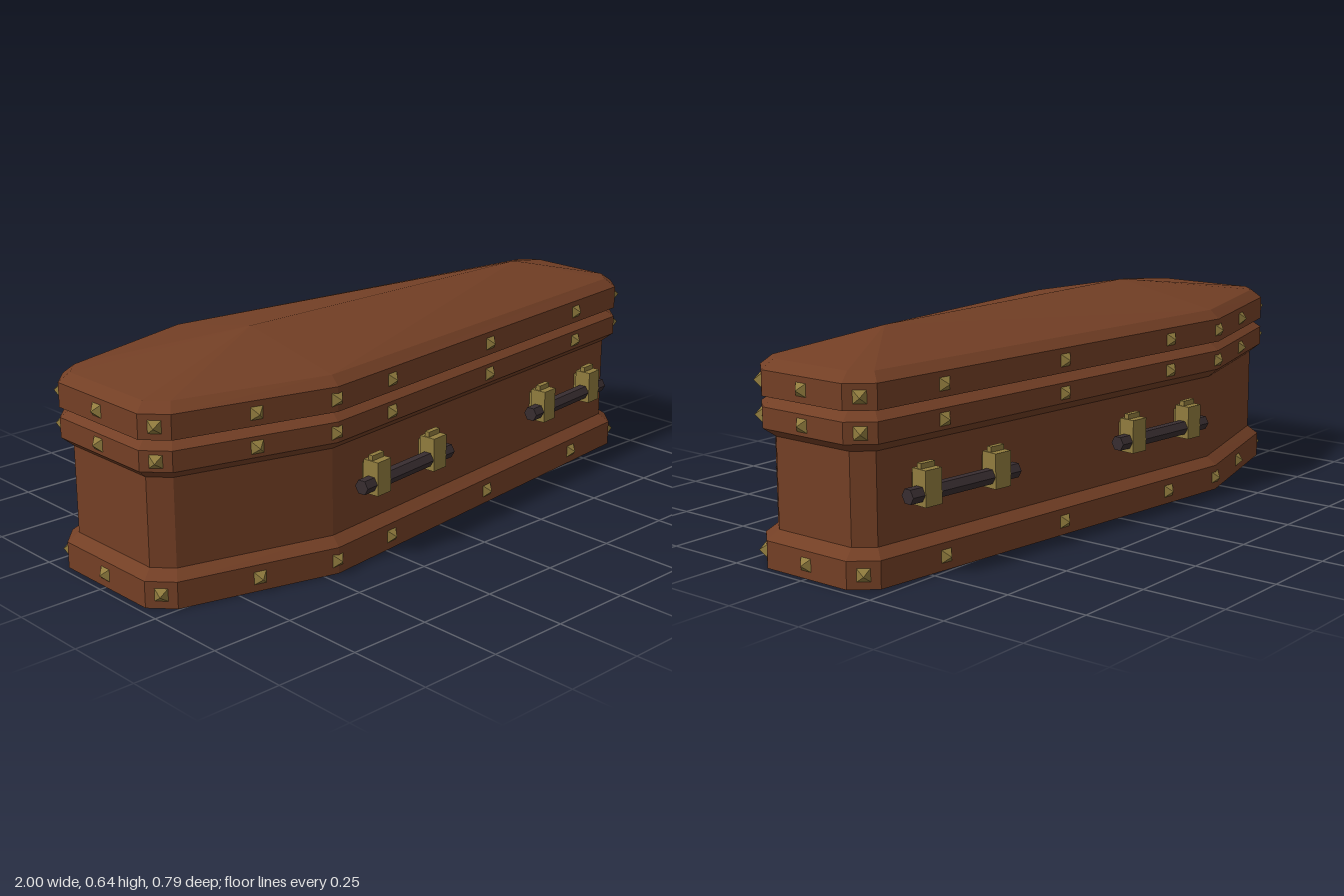
import * as THREE from 'three';

const wood = new THREE.MeshStandardMaterial({ color: 0x733f25, flatShading: true });
wood.name = 'brown wood';
const brass = new THREE.MeshStandardMaterial({ color: 0x917c3e, flatShading: true });
brass.name = 'aged brass';
const iron = new THREE.MeshStandardMaterial({ color: 0x382d30, flatShading: true });
iron.name = 'dark iron';

// Half outlines [x, z] from foot (+x) to head (-x), mirrored across z = 0
const mirrorOutline = half => [...half, ...half.slice().reverse().map(([x, z]) => [x, -z])];
const outerHalf = [[0.98, 0.148], [0.92, 0.215], [-0.455, 0.37], [-0.92, 0.245], [-0.98, 0.18]];
const innerHalf = [[0.945, 0.135], [0.9, 0.187], [-0.45, 0.34], [-0.9, 0.218], [-0.95, 0.165]];
const outer = mirrorOutline(outerHalf);
const inner = mirrorOutline(innerHalf);
const ridge = mirrorOutline([[0.66, 0], [0.66, 0], [-0.45, 0], [-0.45, 0], [-0.45, 0]]);

function mesh(name, geometry, material) {
  const m = new THREE.Mesh(geometry, material);
  m.name = name;
  return m;
}

// Skin a stack of [outline, y] sections and close both ends
function loft(sections) {
  const pos = [];
  const tri = (a, b, c) => {
    const n = new THREE.Vector3().crossVectors(b.clone().sub(a), c.clone().sub(a));
    if (n.length() > 1e-8) pos.push(...a.toArray(), ...b.toArray(), ...c.toArray());
  };
  const rings = sections.map(([pts, y]) => pts.map(([x, z]) => new THREE.Vector3(x, y, z)));
  const n = outer.length;
  const bottom = rings[0], top = rings[rings.length - 1];
  const c0 = new THREE.Vector3(0, sections[0][1], 0);
  const c1 = new THREE.Vector3(0, sections[sections.length - 1][1], 0);
  for (let i = 0; i < n; i++) {
    const j = (i + 1) % n;
    for (let k = 0; k + 1 < rings.length; k++) {
      const a = rings[k][i], b = rings[k][j], au = rings[k + 1][i], bu = rings[k + 1][j];
      if (i < n / 2) {
        tri(a, au, b);
        tri(b, au, bu);
      } else {
        tri(a, bu, b);
        tri(a, au, bu);
      }
    }
    tri(c0, bottom[i], bottom[j]);
    tri(c1, top[j], top[i]);
  }
  const g = new THREE.BufferGeometry();
  g.setAttribute('position', new THREE.Float32BufferAttribute(pos, 3));
  g.computeVertexNormals();
  return g;
}

// Place an object on a wall point, its local +z facing along (nx, nz)
function place(object, x, y, z, nx, nz) {
  object.position.set(x, y, z);
  object.rotation.y = Math.atan2(nx, nz);
  return object;
}

// Pyramid studs around the outer outline: [x, z, nx, nz]
function studSpots() {
  const spots = [[0.98, 0, 1, 0], [-0.98, 0, -1, 0]];
  const half = [[-0.455, 0.367, 0, 1]];
  const along = (i, t) => {
    const [ax, az] = outerHalf[i], [bx, bz] = outerHalf[i + 1];
    half.push([ax + (bx - ax) * t, az + (bz - az) * t, bz - az, ax - bx]);
  };
  along(0, 0.5);
  [1 / 6, 1 / 2, 5 / 6].forEach(t => along(1, t));
  along(2, 0.5);
  along(3, 0.5);
  half.forEach(([x, z, nx, nz]) => spots.push([x, z, nx, nz], [x, -z, nx, -nz]));
  return spots;
}

// Hexagonal bar held by two square brackets
function makeHandle() {
  const g = new THREE.Group();
  g.name = 'handle';
  const bar = mesh('handleBar', new THREE.CylinderGeometry(0.023, 0.023, 0.396, 6).rotateZ(Math.PI / 2), iron);
  bar.position.set(0, 0.234, 0.04);
  g.add(bar);
  for (const s of [-1, 1]) {
    const block = mesh('bracket', new THREE.BoxGeometry(0.058, 0.1, 0.052), brass);
    block.position.set(s * 0.127, 0.25, 0.038);
    const mount = mesh('bracketMount', new THREE.BoxGeometry(0.04, 0.07, 0.02), brass);
    mount.position.set(s * 0.127, 0.25, 0.006);
    const cap = mesh('bracketCap', new THREE.BoxGeometry(0.05, 0.016, 0.016), brass);
    cap.position.set(s * 0.127, 0.307, 0.034);
    g.add(block, mount, cap);
  }
  return g;
}

export function createModel() {
  const model = new THREE.Group();
  model.name = 'coffin';

  // Wooden shell
  model.add(
    mesh('baseTrim', loft([[outer, 0], [outer, 0.078], [inner, 0.104]]), wood),
    mesh('walls', loft([[inner, 0.104], [inner, 0.362]]), wood),
    mesh('upperRim', loft([[inner, 0.362], [outer, 0.388], [outer, 0.447], [inner, 0.47]]), wood),
    mesh('lid', loft([[outer, 0.476], [outer, 0.547], [inner, 0.573], [ridge, 0.64]]), wood)
  );

  // Three rows of studs
  const studGeometry = new THREE.ConeGeometry(0.0272, 0.021, 4)
    .rotateY(Math.PI / 4).translate(0, 0.0095, 0).rotateX(Math.PI / 2);
  for (const y of [0.04, 0.417, 0.512]) {
    for (const [x, z, nx, nz] of studSpots()) {
      model.add(place(mesh('stud', studGeometry, brass), x, y, z, nx, nz));
    }
  }

  // Two handles on each long side
  const [a, b] = [innerHalf[1], innerHalf[2]];
  for (const side of [1, -1]) {
    for (const x of [-0.178, 0.634]) {
      const z = a[1] + (b[1] - a[1]) * (x - a[0]) / (b[0] - a[0]);
      model.add(place(makeHandle(), x, 0, side * z, b[1] - a[1], side * (a[0] - b[0])));
    }
  }
  return model;
}
